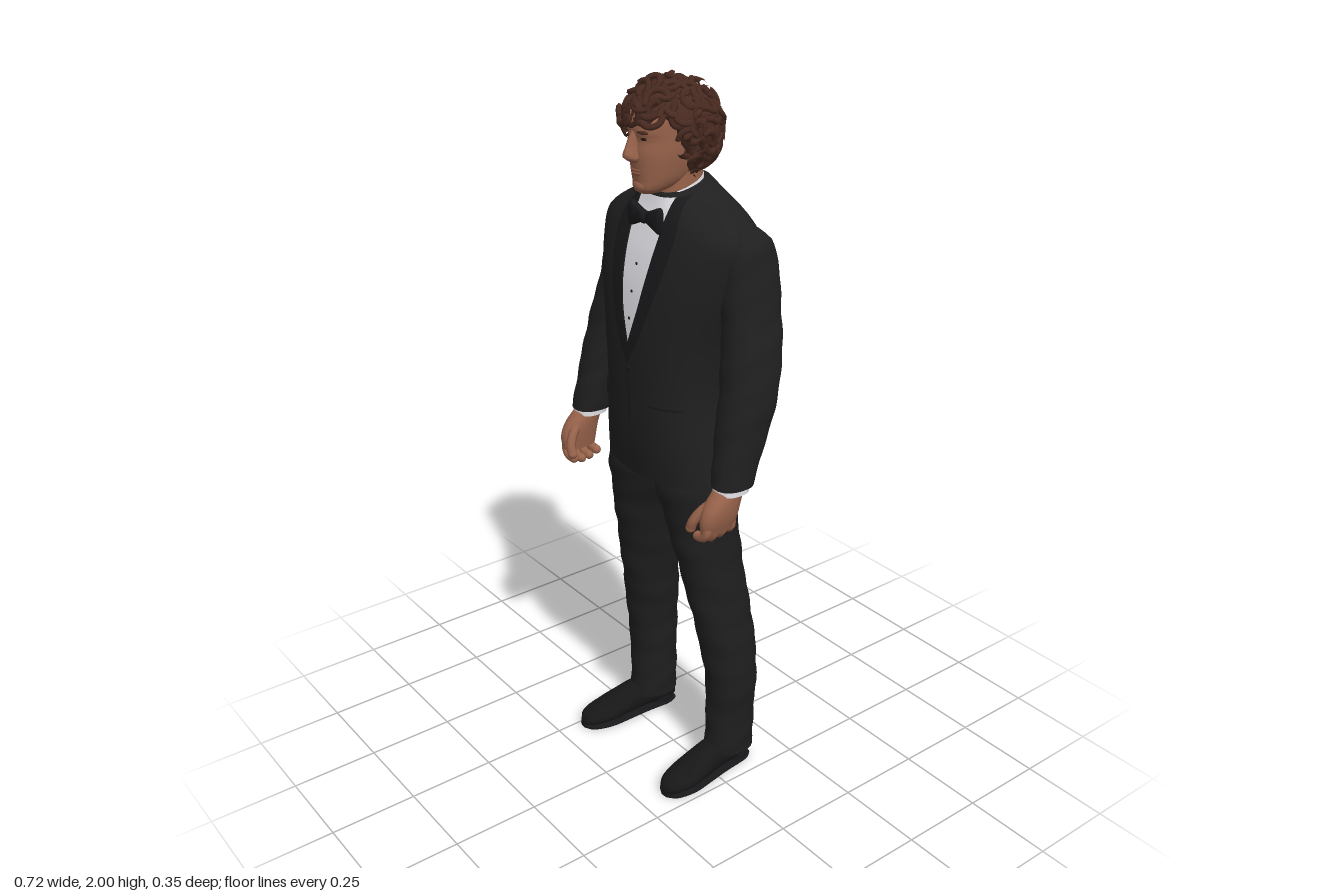
import * as THREE from 'three';
import { mergeGeometries, toCreasedNormals } from 'three/addons/utils/BufferGeometryUtils.js';

const mat = (name, color, side = THREE.FrontSide) => new THREE.MeshStandardMaterial({ name, color, side });
const M = {
  jacket: mat('jacket cloth', 0x1f1f1f, THREE.DoubleSide),
  satin: mat('satin', 0x18181a, THREE.DoubleSide),
  trousers: mat('trouser cloth', 0x1e1e1e, THREE.DoubleSide),
  shoe: mat('shoe leather', 0x171717),
  shirt: mat('shirt white', 0xdedee4, THREE.DoubleSide),
  skin: mat('skin', 0x98634b),
  lips: mat('lips', 0x86523f),
  hair: mat('hair', 0x482a20),
  eye: mat('eye dark', 0x22160f),
};

// Smooth interpolation of table rows, keyed by their first column
function at(rows, k) {
  const n = rows.length;
  let i = 0;
  while (i < n - 2 && k > rows[i + 1][0]) i++;
  const p = rows[i], q = rows[i + 1], h = q[0] - p[0];
  const t = THREE.MathUtils.clamp((k - p[0]) / h, 0, 1), t2 = t * t, t3 = t2 * t;
  const slope = (j, c) => {
    const a = rows[Math.max(j - 1, 0)], b = rows[Math.min(j + 1, n - 1)];
    return (b[c] - a[c]) / (b[0] - a[0]);
  };
  return p.map((v, c) => c === 0 ? k : (2 * t3 - 3 * t2 + 1) * v + (t3 - 2 * t2 + t) * h * slope(i, c)
    + (3 * t2 - 2 * t3) * q[c] + (t3 - t2) * h * slope(i + 1, c));
}

// Closed loft. Rows: [y, centre x, half width, front z, back z, tilt]; n and nb square off front and back
function loft(rows, { seg = 32, steps = 32, n = 2.3, nb = n, folds = 0 } = {}) {
  const pos = [], idx = [], y0 = rows[0][0], y1 = rows[rows.length - 1][0];
  for (let r = 0; r <= steps; r++) {
    const [y, cx, rx, zf, zb, tilt = 0] = at(rows, y0 + (y1 - y0) * r / steps);
    for (let j = 0; j < seg; j++) {
      const a = j / seg * Math.PI * 2;
      const pw = v => Math.sign(v) * Math.abs(v) ** (2 / (Math.sin(a) < 0 ? nb : n));
      const f = 1 + folds * Math.sin(y * 55 + 2.5 * Math.sin(a + y * 4)) * Math.sin(y * 17 + a);
      const z = (zf + zb) / 2 + (zf - zb) / 2 * f * pw(Math.sin(a));
      pos.push(cx + rx * f * pw(Math.cos(a)), y - tilt * z, z);
      if (r < steps) {
        const A = r * seg + j, B = r * seg + (j + 1) % seg;
        idx.push(A, A + seg, B, B, A + seg, B + seg);
      }
    }
  }
  // end caps
  for (const [r, flip] of [[0, 0], [steps, 1]]) {
    const [y, cx, , zf, zb, tilt = 0] = at(rows, r ? y1 : y0), z = (zf + zb) / 2, c = pos.length / 3;
    pos.push(cx, y - tilt * z, z);
    for (let j = 0; j < seg; j++) {
      const A = r * seg + j, B = r * seg + (j + 1) % seg;
      flip ? idx.push(c, B, A) : idx.push(c, A, B);
    }
  }
  const g = new THREE.BufferGeometry();
  g.setAttribute('position', new THREE.Float32BufferAttribute(pos, 3));
  g.setIndex(idx);
  return toCreasedNormals(g, 0.9);
}

// Thin panel lying on a loft, between two x edges given as functions of y
function panel(rows, y0, y1, xa, xb, off, dir = 1, n = 2.4) {
  const g = new THREE.PlaneGeometry(1, 1, 10, 28), p = g.attributes.position;
  for (let i = 0; i < p.count; i++) {
    const k = y0 + (y1 - y0) * (p.getY(i) + 0.5), [, cx, rx, zf, zb, tilt = 0] = at(rows, k);
    const x = THREE.MathUtils.lerp(xa(k), xb(k), p.getX(i) + 0.5);
    const u = Math.min(Math.abs((x - cx) / rx), 0.99);
    const z = (zf + zb) / 2 + dir * ((zf - zb) / 2 * (1 - u ** n) ** (1 / n) + off);
    p.setXYZ(i, x, k - tilt * z, z);
  }
  g.computeVertexNormals();
  return g;
}

export function createModel() {
  const model = new THREE.Group();
  const add = (name, geo, material, parent = model) => {
    const m = new THREE.Mesh(geo, material);
    m.name = name;
    parent.add(m);
    return m;
  };
  const ball = (name, material, x, y, z, rx, ry, rz) =>
    add(name, new THREE.SphereGeometry(1, 16, 12).scale(rx, ry, rz).translate(x, y, z), material);

  // Jacket body with shirt front, lapels and pockets laid on it
  const torso = [[0.957, 0, 0.22, 0.135, -0.173, 0], [1.05, 0, 0.204, 0.145, -0.155, 0], [1.2, 0, 0.186, 0.151, -0.142, 0],
    [1.34, 0, 0.2, 0.151, -0.157, 0], [1.47, 0, 0.235, 0.137, -0.167, 0], [1.56, 0, 0.255, 0.115, -0.16, 0],
    [1.62, 0, 0.255, 0.094, -0.145, 0], [1.66, 0, 0.208, 0.082, -0.128, 0.08], [1.695, 0, 0.135, 0.07, -0.105, 0.18],
    [1.725, 0, 0.082, 0.062, -0.085, 0.25]];
  add('jacketBody', loft(torso, { seg: 64, steps: 56, n: 2.4, nb: 2.7 }), M.jacket);
  const mid = 0.008;
  const open = [[1.33, 0], [1.45, 0.036], [1.6, 0.058], [1.72, 0.062]];
  const outer = [[1.28, 0.002], [1.36, 0.045], [1.5, 0.094], [1.6, 0.112], [1.66, 0.108], [1.72, 0.083]];
  const col = (rows, k) => at(rows, k)[1];
  add('shirtFront', panel(torso, 1.33, 1.72, k => mid - col(open, k), k => mid + col(open, k), 0.002), M.shirt);
  const line = x => [() => x - 0.002, () => x + 0.002];
  for (const s of [-1, 1]) {
    add('lapel', panel(torso, 1.28, 1.72, k => mid + s * (k < 1.33 ? 0 : col(open, k)), k => mid + s * col(outer, k), 0.006), M.satin);
    add('pocketFlap', panel(torso, 1.145, 1.175, () => s * 0.085, () => s * 0.16, 0.005), M.jacket);
    add('pocketSeam', panel(torso, 1.175, 1.181, () => s * 0.083, () => s * 0.162, 0.005), M.satin);
    add('backVent', panel(torso, 0.958, 1.14, ...line(s * 0.085), 0.002, -1, 2.7), M.satin);
    add('shirtPleat', panel(torso, 1.43, 1.68, ...line(mid + s * 0.014), 0.003), M.shirt);
  }
  add('breastPocket', panel(torso, 1.45, 1.47, () => 0.11, () => 0.165, 0.004), M.jacket);
  add('backSeam', panel(torso, 1.14, 1.7, () => -0.001, () => 0.001, 0.002, -1, 2.7), M.satin);
  add('frontEdge', panel(torso, 1.1, 1.3, ...line(mid), 0.003), M.satin);
  add('frontCutaway', panel(torso, 0.957, 1.1, k => mid - (1.1 - k) * 0.22, k => mid + (1.1 - k) * 0.22, 0.002), M.trousers);
  ball('jacketButton', M.satin, mid, 1.265, 0.154, 0.009, 0.009, 0.005);
  for (const y of [1.4, 1.47, 1.54]) ball('shirtStud', M.eye, mid, y, at(torso, y)[3] + 0.003, 0.004, 0.004, 0.002);

  // Shirt collar and bow tie
  add('shirtCollar', loft([[1.66, 0.004, 0.068, 0.074, -0.08, 0.35], [1.7, 0.004, 0.065, 0.068, -0.077, 0.35],
    [1.728, 0.004, 0.061, 0.063, -0.074, 0.35]], { steps: 8 }), M.shirt);
  for (const s of [-1, 1]) {
    const wing = loft([[0, 0, 0.012, 0.01, -0.01], [0.025, 0, 0.021, 0.012, -0.012], [0.058, 0, 0.034, 0.011, -0.011],
      [0.067, 0, 0.028, 0.005, -0.005]], { seg: 20, steps: 12, n: 3 });
    add('bowWing', wing.rotateZ(-s * Math.PI / 2).translate(mid, 1.656, 0.094), M.satin);
  }
  ball('bowKnot', M.satin, mid, 1.656, 0.098, 0.014, 0.017, 0.015);

  for (const s of [-1, 1]) {
    const side = rows => rows.map(([y, x, ...rest]) => [y, s * x, ...rest]);
    // Sleeve and cuff
    add('sleeve', loft(side([[1.02, 0.314, 0.046, 0.11, 0.002], [1.13, 0.303, 0.056, 0.09, -0.042], [1.26, 0.291, 0.065, 0.062, -0.088],
      [1.37, 0.27, 0.065, 0.042, -0.112], [1.47, 0.25, 0.061, 0.03, -0.124], [1.57, 0.236, 0.055, 0.02, -0.124],
      [1.62, 0.226, 0.052, 0.005, -0.114], [1.648, 0.212, 0.038, -0.02, -0.085]]), { steps: 48, folds: 0.03, n: 2.3, nb: 2.7 }), M.jacket);
    add('cuff', loft(side([[1.004, 0.315, 0.041, 0.107, 0.012], [1.03, 0.314, 0.041, 0.104, 0.008]]), { steps: 3 }), M.shirt);

    // Hand with fingers and thumb
    add('palm', loft(side([[0.905, 0.314, 0.02, 0.152, 0.05], [0.94, 0.317, 0.028, 0.156, 0.042], [0.975, 0.317, 0.032, 0.143, 0.035],
      [1.015, 0.315, 0.033, 0.104, 0.024]]), { seg: 20, steps: 10 }), M.skin);
    const digit = (name, pts, r) => {
      const v = pts.map(([x, y, z]) => new THREE.Vector3(s * x, y, z));
      add(name, new THREE.TubeGeometry(new THREE.CatmullRomCurve3(v), 10, r, 8), M.skin);
      const e = v[v.length - 1];
      ball(name + 'Tip', M.skin, e.x, e.y, e.z, r, r, r);
    };
    for (let i = 0; i < 4; i++) {
      const z = 0.06 + i * 0.026, d = [0.012, 0.003, 0, 0.006][i];
      digit('finger', [[0.318, 0.935, z], [0.32, 0.905, z + 0.003], [0.305, 0.884 + d, z + 0.004], [0.284, 0.88 + d, z + 0.002]], 0.013);
    }
    digit('thumb', [[0.308, 0.985, 0.1], [0.292, 0.96, 0.134], [0.279, 0.93, 0.152], [0.27, 0.908, 0.153]], 0.0135);

    // Trouser leg, with the stance a little to one side
    const lean = [[0.065, -0.014], [0.5, -0.01], [0.8, -0.004], [1.04, 0]];
    add('trouserLeg', loft(side([[0.062, 0.184, 0.063, 0.002, -0.148], [0.18, 0.184, 0.064, -0.004, -0.147], [0.32, 0.186, 0.068, 0.004, -0.15],
      [0.45, 0.175, 0.068, 0.025, -0.147], [0.6, 0.156, 0.068, 0.055, -0.13], [0.8, 0.128, 0.079, 0.096, -0.11],
      [0.92, 0.108, 0.104, 0.115, -0.112], [1.04, 0.1, 0.1, 0.11, -0.11]]).map(([y, x, ...rest]) => [y, x + col(lean, y), ...rest]),
    { steps: 60, folds: 0.03, n: 2.1 }), M.trousers);

    // Shoe, lofted from heel to toe
    const shoe = new THREE.Group();
    shoe.name = 'shoe';
    shoe.position.x = s * 0.19 - 0.018;
    shoe.rotation.y = s * 0.09;
    model.add(shoe);
    const last = [[-0.14, 0.026, 0.06], [-0.115, 0.04, 0.085], [-0.03, 0.043, 0.1], [0.04, 0.048, 0.082], [0.1, 0.051, 0.06],
      [0.15, 0.04, 0.048], [0.172, 0.024, 0.037], [0.179, 0.01, 0.026]];
    add('upper', loft(last.map(([z, w, h]) => [z, 0, w, -0.008, -h]), { steps: 28 }).rotateX(Math.PI / 2), M.shoe, shoe);
    add('sole', loft(last.map(([z, w]) => [z, 0, w + 0.003, 0, -0.012]), { steps: 28, n: 4 }).rotateX(Math.PI / 2), M.satin, shoe);
    add('heel', new THREE.CylinderGeometry(0.042, 0.042, 0.026, 24).translate(0, 0.013, -0.098), M.satin, shoe);
  }

  // Neck, head and face
  const cx = 0.006;
  add('neck', loft([[1.66, cx, 0.058, 0.055, -0.07], [1.72, cx, 0.055, 0.05, -0.07], [1.8, cx, 0.057, 0.05, -0.075]], { steps: 10 }), M.skin);
  add('head', loft([[1.717, cx, 0.022, 0.108, 0.05], [1.728, cx, 0.038, 0.118, 0.02], [1.75, cx, 0.052, 0.12, -0.03], [1.78, cx, 0.061, 0.124, -0.07],
    [1.82, cx, 0.068, 0.127, -0.09], [1.852, cx, 0.07, 0.125, -0.1], [1.873, cx, 0.07, 0.132, -0.1], [1.9, cx, 0.07, 0.13, -0.1],
    [1.94, cx, 0.06, 0.11, -0.08], [1.965, cx, 0.03, 0.06, -0.03]], { seg: 40, steps: 50, n: 2.35 }), M.skin);
  add('nose', loft([[1.797, cx, 0.01, 0.135, 0.1], [1.805, cx, 0.018, 0.148, 0.1], [1.815, cx, 0.017, 0.158, 0.1], [1.84, cx, 0.012, 0.149, 0.1],
    [1.875, cx, 0.012, 0.134, 0.1]], { seg: 20, steps: 16 }), M.skin);
  ball('upperLip', M.lips, cx, 1.777, 0.119, 0.022, 0.004, 0.009);
  ball('lowerLip', M.lips, cx, 1.769, 0.118, 0.019, 0.005, 0.009);
  ball('chin', M.skin, cx, 1.737, 0.107, 0.026, 0.018, 0.016);
  for (const s of [-1, 1]) {
    ball('eyebrow', M.hair, cx + s * 0.031, 1.874, 0.124, 0.022, 0.0045, 0.008);
    ball('eye', M.eye, cx + s * 0.029, 1.857, 0.1185, 0.011, 0.004, 0.005);
    ball('ear', M.skin, cx + s * 0.07, 1.825, 0.005, 0.011, 0.03, 0.019);
  }

  // Hair: a cap kept clear of the face, covered with loose curls
  const c = new THREE.Vector3(0, 1.868, 0.01), R = new THREE.Vector3(0.117, 0.115, 0.125);
  const shell = d => {
    const p = d.clone().multiply(R), w = Math.max(Math.hypot(d.x, d.z), 0.2);
    if (d.y < 0) p.multiply(new THREE.Vector3(w ** -0.2, 1, w ** -0.2));
    return p;
  };
  // hairline: swept low over the right temple, higher on the left
  const onFace = p => p.y < 1.882 + 0.026 * THREE.MathUtils.smoothstep(p.x, -0.04, 0.01) && p.z > 0.02 + (p.y - 1.79) * 0.55;
  const cap = new THREE.SphereGeometry(1, 48, 36), cp = cap.attributes.position, d = new THREE.Vector3();
  for (let i = 0; i < cp.count; i++) {
    const p = shell(d.fromBufferAttribute(cp, i)).add(c);
    if (onFace(p)) p.sub(c).multiplyScalar(0.42).add(c);
    cp.setXYZ(i, p.x, p.y, p.z);
  }
  cap.computeVertexNormals();
  add('hairCap', cap, M.hair);
  let seed = 7;
  const rnd = () => (seed = (seed * 16807) % 2147483647) / 2147483647;
  const curls = [], N = 360, out = new THREE.Vector3(0, 0, 1);
  for (let i = 0; i < N; i++) {
    const h = 1 - 2 * (i + 0.5) / N, a = i * 2.39996, w = Math.sqrt(1 - h * h);
    const dir = new THREE.Vector3(w * Math.cos(a), h, w * Math.sin(a));
    const p = shell(dir).multiplyScalar(0.96 + rnd() * 0.09).add(c);
    const turn = rnd() * 6.28, r = 0.015 + rnd() * 0.015, arc = 1.6 + rnd() * 2, roll = (rnd() - 0.5) * 0.8;
    if (onFace(p) || p.y < 1.762) continue;
    const q = new THREE.Quaternion().setFromUnitVectors(out, dir.divide(R).normalize());
    curls.push(new THREE.TorusGeometry(r, 0.009, 6, 12, arc).scale(1, 1, 0.8).rotateZ(turn).rotateX(roll)
      .applyQuaternion(q).translate(p.x, p.y, p.z));
  }
  add('hairCurls', mergeGeometries(curls), M.hair);
  return model;
}
